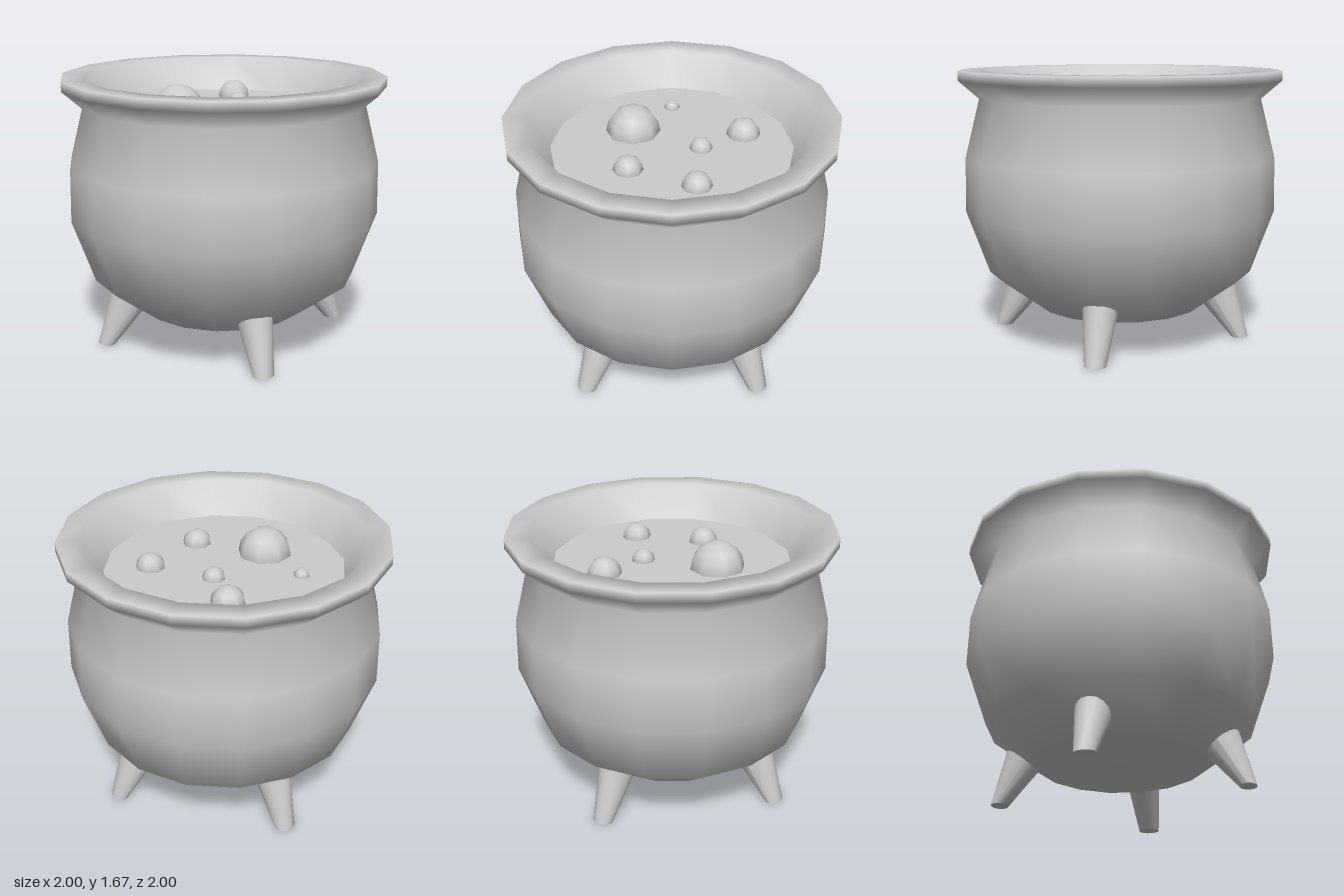
import * as THREE from 'three';

const SIDES = 16;
const LIQUID_Y = 1.465;

// Foot-to-hip loft: an upright cylinder whose rings are shifted and stretched outward
function legGeometry() {
  const height = 0.36;
  const geometry = new THREE.CylinderGeometry(1, 1, height, 16, 1);
  const pos = geometry.attributes.position;
  for (let i = 0; i < pos.count; i++) {
    const t = pos.getY(i) / height + 0.5;
    const centre = THREE.MathUtils.lerp(0.772, 0.565, t);
    const halfX = THREE.MathUtils.lerp(0.053, 0.165, t);
    const halfZ = THREE.MathUtils.lerp(0.065, 0.116, t);
    pos.setXYZ(i, centre + pos.getX(i) * halfX, t * height, pos.getZ(i) * halfZ);
  }
  geometry.computeVertexNormals();
  return geometry;
}

export function createModel() {
  const group = new THREE.Group();
  const material = new THREE.MeshStandardMaterial({ color: 0xcccccc });
  const shellMaterial = new THREE.MeshStandardMaterial({ color: 0xcccccc, side: THREE.DoubleSide });

  const add = (name, geometry, mat = material) => {
    const mesh = new THREE.Mesh(geometry, mat);
    mesh.name = name;
    group.add(mesh);
    return mesh;
  };

  // Pot: belly, neck, flared rim and the inside of the mouth
  const profile = [
    [0, 0.19], [0.52, 0.19], [0.83, 0.42], [0.97, 0.81], [0.965, 1.14],
    [0.875, 1.5], [1, 1.61], [1, 1.67], [0.86, 1.67], [0.73, LIQUID_Y],
  ].map(([r, y]) => new THREE.Vector2(r, y));
  add('pot', new THREE.LatheGeometry(profile, SIDES), shellMaterial);

  // Liquid surface
  const liquid = add('liquid', new THREE.CircleGeometry(0.73, SIDES));
  liquid.rotation.x = -Math.PI / 2;
  liquid.position.y = LIQUID_Y;

  // Bubbles, half sunk: x, z, radius
  const bubbles = [
    [-0.3, 0.035, 0.166], [0.205, -0.41, 0.104], [-0.335, -0.335, 0.048],
    [0.135, -0.11, 0.07], [0.4, 0.2, 0.09], [0, 0.36, 0.09],
  ];
  bubbles.forEach(([x, z, r], i) => {
    const dome = new THREE.SphereGeometry(r, 8, 4, 0, Math.PI * 2, 0, Math.PI / 2);
    add(`bubble${i + 1}`, dome).position.set(x, LIQUID_Y, z);
  });

  // Four splayed legs
  const leg = legGeometry();
  ['leftLeg', 'backLeg', 'rightLeg', 'frontLeg'].forEach((name, i) => {
    add(name, leg).rotation.y = (i * Math.PI) / 2;
  });

  return group;
}
